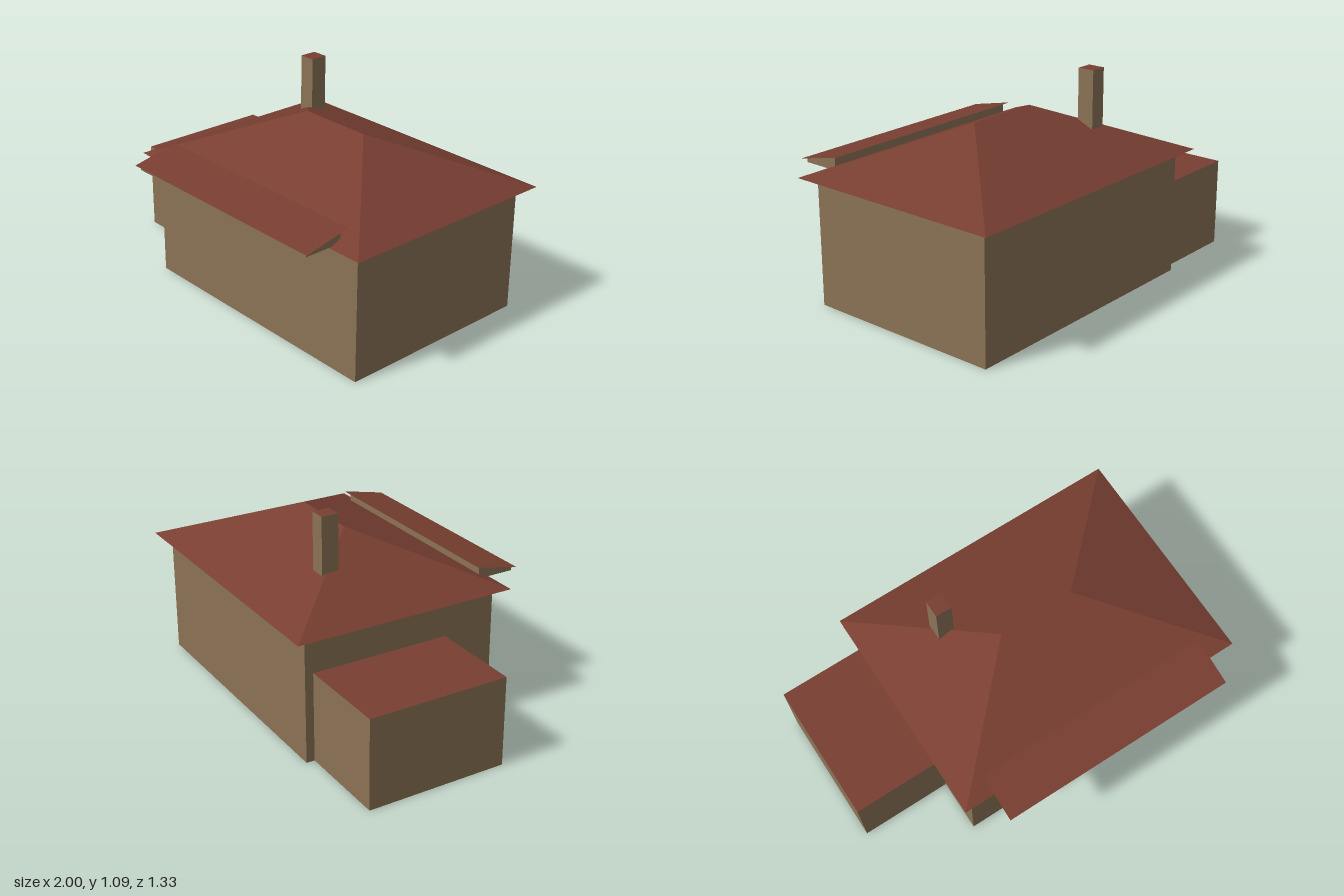
import * as THREE from 'three';

const wallMat = new THREE.MeshStandardMaterial({ color: 0x8b7355, side: THREE.DoubleSide });
wallMat.name = 'tan wall';
const roofMat = new THREE.MeshStandardMaterial({ color: 0x783e31, side: THREE.DoubleSide });
roofMat.name = 'red roof';

// Flat-sided sheet from polygons whose corners run anticlockwise seen from outside
function sheet(name, polygons, material) {
  const points = [];
  for (const p of polygons) {
    for (let i = 1; i < p.length - 1; i++) points.push(...p[0], ...p[i], ...p[i + 1]);
  }
  const geometry = new THREE.BufferGeometry();
  geometry.setAttribute('position', new THREE.Float32BufferAttribute(points, 3));
  geometry.computeVertexNormals();
  const mesh = new THREE.Mesh(geometry, material);
  mesh.name = name;
  return mesh;
}

// Upright walls round a rectangle, open above and below; the top may differ front and back
function walls(name, [x0, x1], [z0, z1], y0, yBack, yFront = yBack, sides = 4) {
  const corners = [[x0, z0, yBack], [x0, z1, yFront], [x1, z1, yFront], [x1, z0, yBack]];
  // With three sides the +x wall is left out
  const order = sides === 4 ? [0, 1, 2, 3] : [0, 1, 3];
  const polygons = order.map((i) => {
    const [ax, az, ay] = corners[i];
    const [bx, bz, by] = corners[(i + 1) % 4];
    return [[ax, y0, az], [bx, y0, bz], [bx, by, bz], [ax, ay, az]];
  });
  return sheet(name, polygons, wallMat);
}

// Four-cornered cover sloping from back to front
function cover(name, [x0, x1], [z0, z1], yBack, yFront = yBack) {
  return sheet(name, [[[x0, yBack, z0], [x0, yFront, z1], [x1, yFront, z1], [x1, yBack, z0]]], roofMat);
}

export function createModel() {
  const house = new THREE.Group();
  house.name = 'house';

  // Main block, reaching up to the underside of the roof
  house.add(walls('mainWalls', [-0.512, 0.932], [-0.6, 0.447], 0, 0.682));

  // Hipped roof with overhanging eaves
  const eave = 0.656, top = 0.906;
  const a = [-0.577, eave, -0.667], b = [-0.577, eave, 0.51];
  const c = [1, eave, 0.51], d = [1, eave, -0.667];
  const ridgeL = [0.01, top, -0.079], ridgeR = [0.412, top, -0.079];
  house.add(sheet('hippedRoof', [
    [b, c, ridgeR, ridgeL],
    [d, a, ridgeL, ridgeR],
    [a, b, ridgeL],
    [c, d, ridgeR],
  ], roofMat));

  // Low side wing with a flat roof
  const wingX = [-1, -0.512], wingZ = [-0.557, 0.172];
  house.add(walls('wingWalls', wingX, wingZ, 0, 0.463, 0.463, 3));
  house.add(cover('wingRoof', wingX, wingZ, 0.463));

  // Chimney
  const chimneyX = [-0.236, -0.151], chimneyZ = [-0.346, -0.257];
  house.add(walls('chimneyWalls', chimneyX, chimneyZ, 0.79, 1.091));
  house.add(cover('chimneyTop', chimneyX, chimneyZ, 1.091));

  // Front canopy: a shallow wedge under a slightly wider sloping roof
  house.add(walls('canopyWalls', [-0.4, 0.82], [0.447, 0.647], 0.66, 0.727, 0.683));
  house.add(cover('canopyRoof', [-0.423, 0.842], [0.421, 0.663], 0.734, 0.681));

  return house;
}
